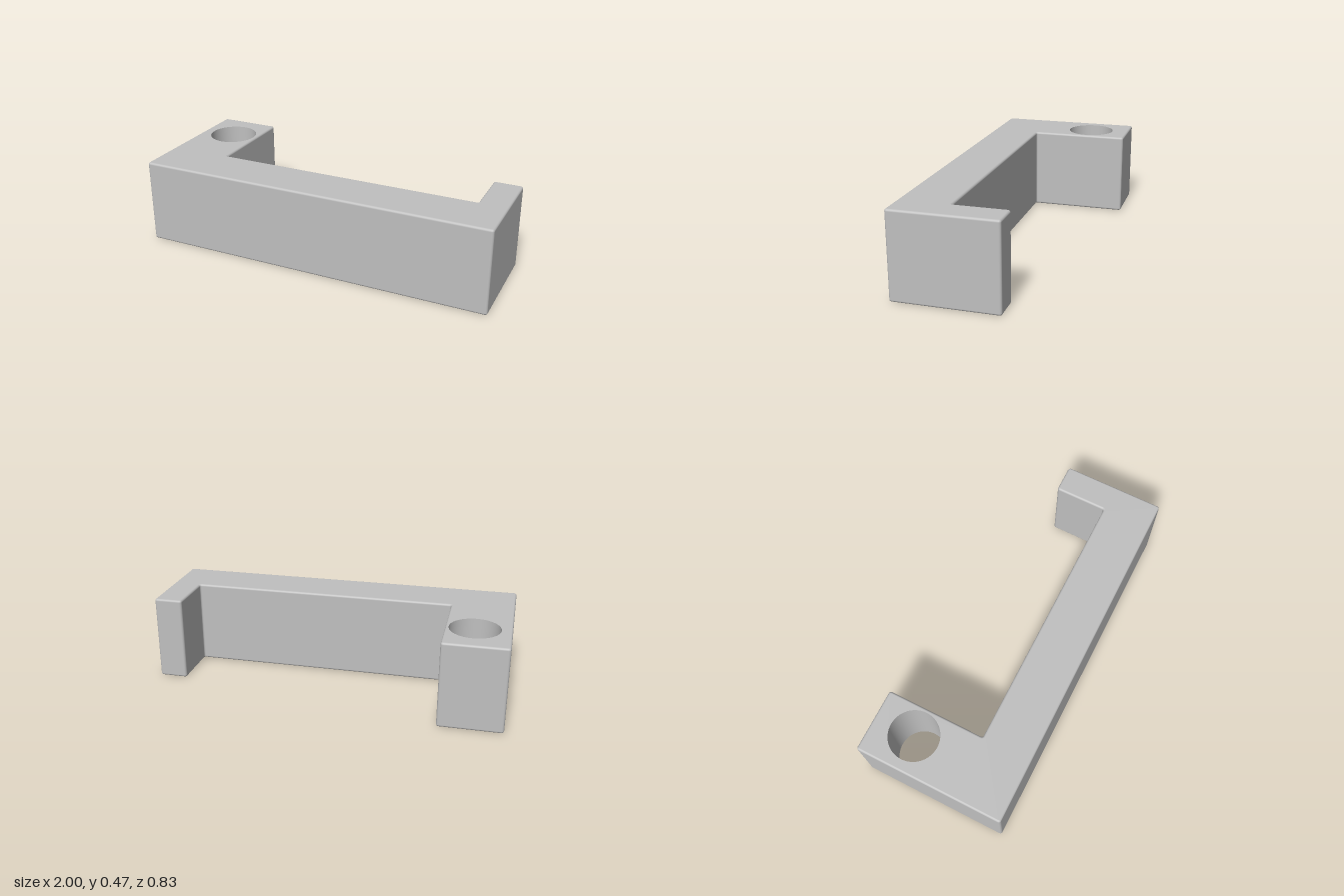
import * as THREE from 'three';

const HEIGHT = 0.475, BEVEL = 0.012, CORNER = 0.014, FILLET = 0.01, STEPS = 5;
const HOLE = { x: -0.805, z: -0.184, r: 0.137 };

// Plan corners, counterclockwise seen from above: x, -z, direction to the arc centre, concave
const corners = [
  [-1, -0.417, 1, 1], [1, -0.417, -1, 1], [1, 0.158, -1, -1], [0.84, 0.158, 1, -1],
  [0.84, -0.137, -1, 1, true], [-0.65, -0.137, 1, 1, true],
  [-0.65, 0.417, -1, -1], [-1, 0.417, 1, -1],
];

// Rounded plan outline moved inwards by inset, with its outward normals
function outline(inset) {
  const points = [];
  corners.forEach(([x, y, sx, sy, concave], i) => {
    const r = concave ? FILLET : CORNER;
    const radius = concave ? r + inset : r - inset;
    const sign = concave ? 1 : -1;
    for (let k = 0; k <= STEPS; k++) {
      const a = (i % 2 ? STEPS - k : k) / STEPS * Math.PI / 2;
      const dx = sx * Math.cos(a), dy = sy * Math.sin(a);
      points.push({
        x: x + sx * r - dx * radius, y: y + sy * r - dy * radius,
        nx: dx * sign, ny: dy * sign,
      });
    }
  });
  return points;
}

// Upright walls with rounded top and bottom edges, built from stacked outlines
function wallGeometry() {
  const position = [], normal = [], index = [];
  const count = corners.length * (STEPS + 1);
  let rings = 0;
  for (const top of [false, true]) {
    for (let k = 0; k <= STEPS; k++) {
      const b = (top ? k : k - STEPS) / STEPS * Math.PI / 2;
      const c = Math.cos(b), s = Math.sin(b);
      const y = (top ? HEIGHT - BEVEL : BEVEL) + BEVEL * s;
      for (const p of outline(BEVEL * (1 - c))) {
        position.push(p.x, y, -p.y);
        normal.push(p.nx * c, s, -p.ny * c);
      }
      rings++;
    }
  }
  for (let r = 0; r < rings - 1; r++) {
    for (let j = 0; j < count; j++) {
      const a = r * count + j, b = r * count + (j + 1) % count;
      index.push(a, b, b + count, a, b + count, a + count);
    }
  }
  const geometry = new THREE.BufferGeometry();
  geometry.setAttribute('position', new THREE.Float32BufferAttribute(position, 3));
  geometry.setAttribute('normal', new THREE.Float32BufferAttribute(normal, 3));
  geometry.setIndex(index);
  return geometry;
}

// Flat face with the round hole; side is 1 for the top and -1 for the bottom
function faceGeometry(side) {
  const shape = new THREE.Shape(outline(BEVEL).map(p => new THREE.Vector2(p.x, p.y * side)));
  const hole = new THREE.Path();
  hole.absarc(HOLE.x, -HOLE.z * side, HOLE.r, 0, Math.PI * 2, true);
  shape.holes.push(hole);
  const geometry = new THREE.ShapeGeometry(shape, 32);
  geometry.rotateX(-side * Math.PI / 2);
  return geometry;
}

export function createModel() {
  const model = new THREE.Group();
  model.name = 'bracket';
  const grey = new THREE.MeshStandardMaterial({ color: 0xc0c0c0 });
  grey.name = 'grey';

  const add = (name, geometry) => {
    const mesh = new THREE.Mesh(geometry, grey);
    mesh.name = name;
    model.add(mesh);
    return mesh;
  };

  add('walls', wallGeometry());
  add('topFace', faceGeometry(1)).position.y = HEIGHT;
  add('bottomFace', faceGeometry(-1));

  // Inside of the hole: the profile runs downwards so the surface faces the axis
  const bore = new THREE.LatheGeometry(
    [new THREE.Vector2(HOLE.r, HEIGHT), new THREE.Vector2(HOLE.r, 0)], 64);
  add('screwHole', bore).position.set(HOLE.x, 0, HOLE.z);

  return model;
}
